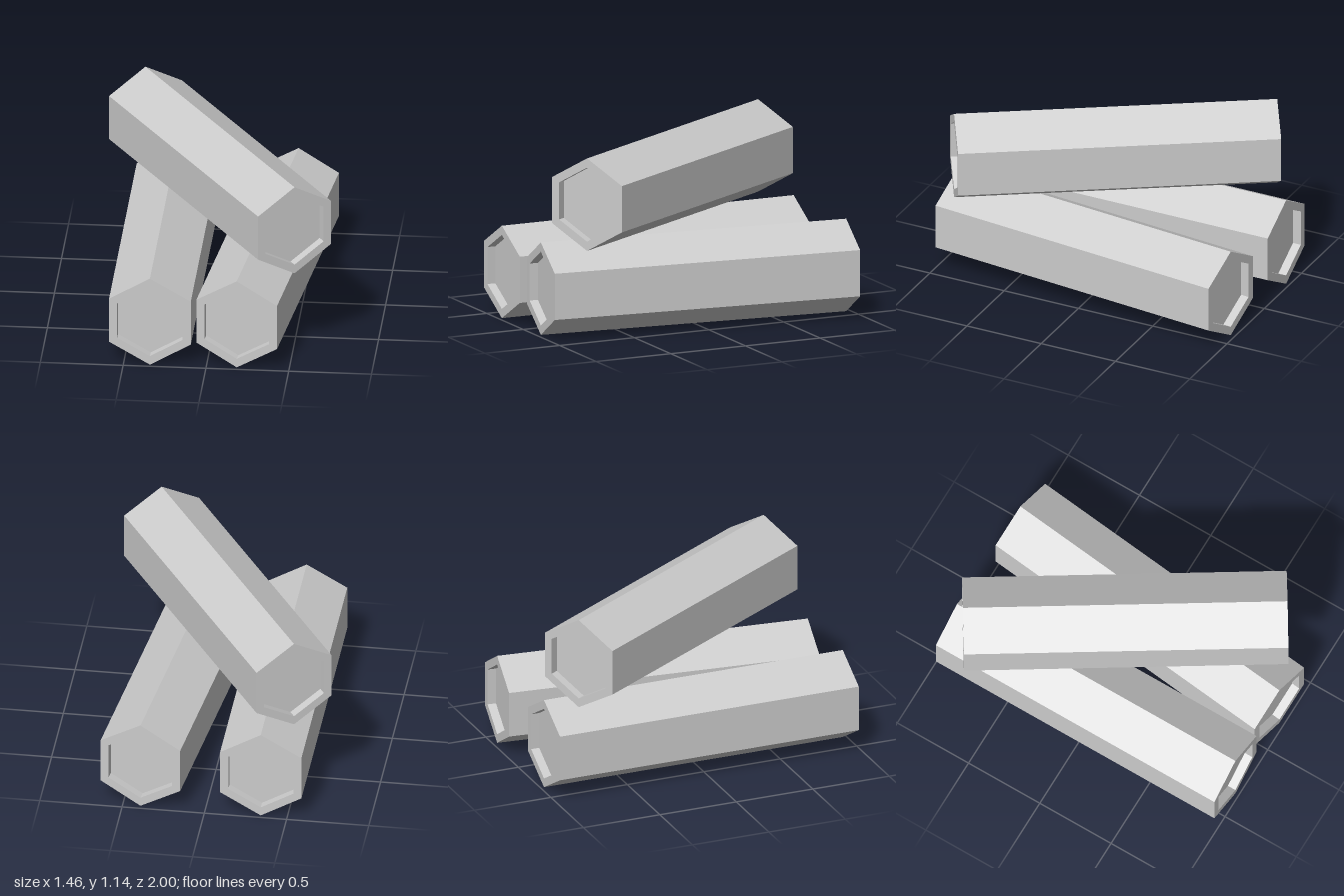
import * as THREE from 'three';

const RADIUS = 0.285;   // corner radius of the hexagon
const INNER = 0.228;    // corner radius of the end recess
const HALF = 0.977;     // half the log length
const DEPTH = 0.053;    // depth of the end recess

// Six-sided log along z, corner up, with a shallow recess in each end
function logGeometry() {
  const profile = [
    [0, DEPTH - HALF], [INNER, DEPTH - HALF], [INNER, -HALF], [RADIUS, -HALF],
    [RADIUS, HALF], [INNER, HALF], [INNER, HALF - DEPTH], [0, HALF - DEPTH],
  ].map(([r, y]) => new THREE.Vector2(r, y));
  return new THREE.LatheGeometry(profile, 6).rotateX(Math.PI / 2);
}

export function createModel() {
  const group = new THREE.Group();
  group.name = 'logPile';
  const geometry = logGeometry();
  const material = new THREE.MeshStandardMaterial({ color: 0xcccccc, flatShading: true });

  // Two logs on the ground, one laid across them
  const logs = [
    { name: 'lowerRightLog', x: -0.34, y: RADIUS, turn: 0 },
    { name: 'lowerLeftLog', x: 0.288, y: RADIUS, turn: -0.107 },
    { name: 'upperLog', x: 0, y: RADIUS * 3, turn: 0.562 },
  ];
  for (const { name, x, y, turn } of logs) {
    const log = new THREE.Mesh(geometry, material);
    log.name = name;
    log.position.set(x, y, 0);
    log.rotation.y = turn;
    group.add(log);
  }
  return group;
}
